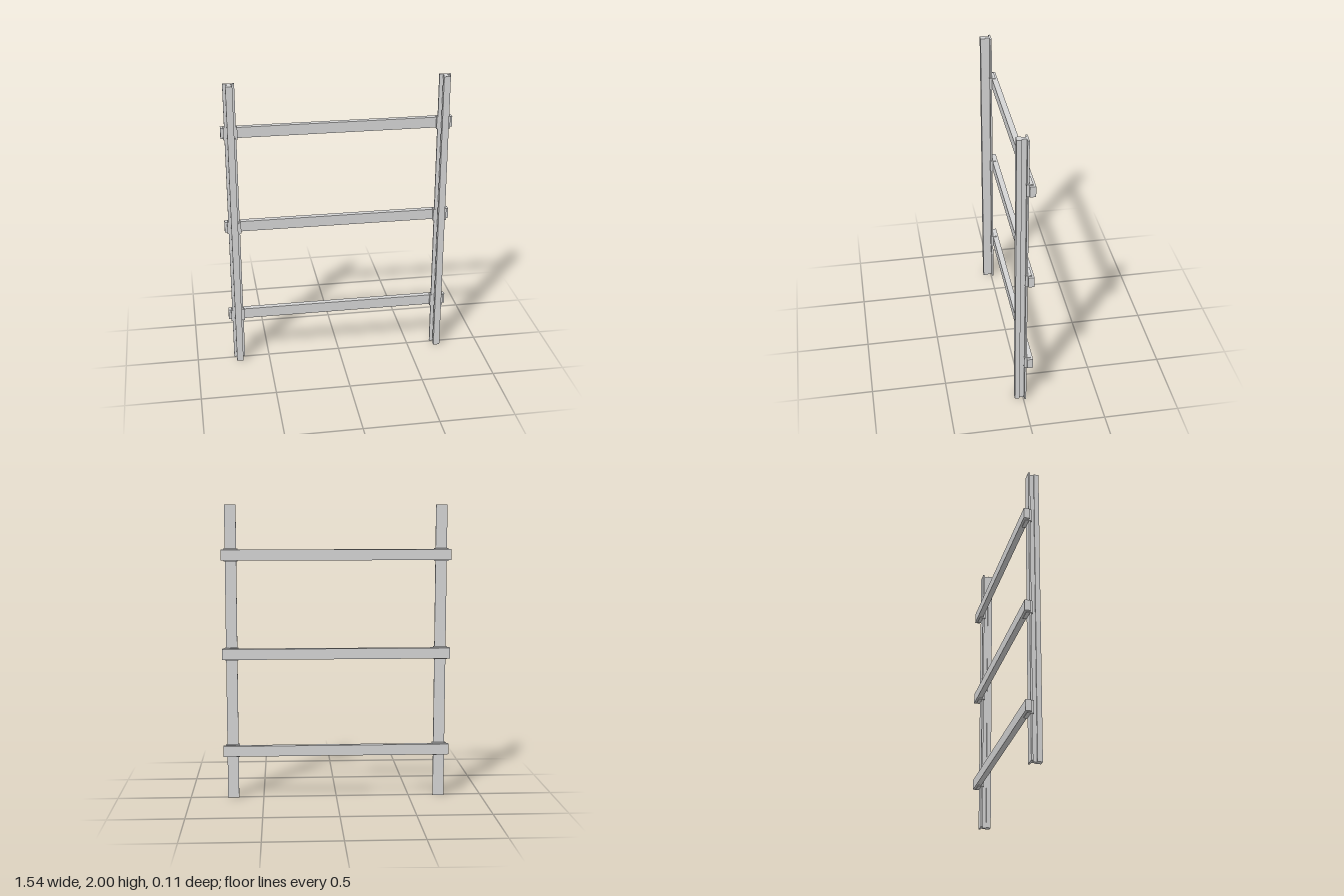
import * as THREE from 'three';

const steel = new THREE.MeshStandardMaterial({ color: 0xd4d4d4 });
steel.name = 'light grey steel';

// Symmetric outline in x/z from its right-hand half, extruded upwards and centred on y
function profileBar(name, half, height) {
  const pts = [...half, ...half.slice().reverse().map(([x, z]) => [-x, z])];
  // Shape y becomes -z once the extrusion is stood upright
  const shape = new THREE.Shape(pts.map(([x, z]) => new THREE.Vector2(x, -z)));
  const geo = new THREE.ExtrudeGeometry(shape, { depth: height, bevelEnabled: false });
  geo.translate(0, 0, -height / 2);
  geo.rotateX(-Math.PI / 2);
  const mesh = new THREE.Mesh(geo, steel);
  mesh.name = name;
  return mesh;
}

export function createModel() {
  const group = new THREE.Group();
  group.name = 'railFrame';
  const levels = [1 / 3, 1, 5 / 3];

  // Upright rail: wide rear flange, narrow web, thicker front head
  const railHalf = [
    [0.038, -0.018], [0.038, -0.006], [0.013, -0.006],
    [0.013, 0.024], [0.022, 0.024], [0.022, 0.056],
  ];
  // Clip: back plate with two lips folded round the rail flange
  const clipHalf = [
    [0.046, -0.042], [0.046, 0], [0.031, 0], [0.031, -0.006],
    [0.038, -0.006], [0.038, -0.018],
  ];

  for (const [side, x] of [['left', 0.707], ['right', -0.707]]) {
    const rail = profileBar(side + 'Rail', railHalf, 2);
    rail.position.set(x, 1, 0);
    group.add(rail);
    levels.forEach((y, i) => {
      const clip = profileBar(side + 'Clip' + (i + 1), clipHalf, 0.084);
      clip.position.set(x, y, 0);
      group.add(clip);
    });
  }

  // Horizontal bars behind the rails
  levels.forEach((y, i) => {
    const bar = new THREE.Mesh(new THREE.BoxGeometry(1.54, 0.072, 0.038), steel);
    bar.name = 'crossbar' + (i + 1);
    bar.position.set(0, y, -0.037);
    group.add(bar);
  });

  return group;
}
